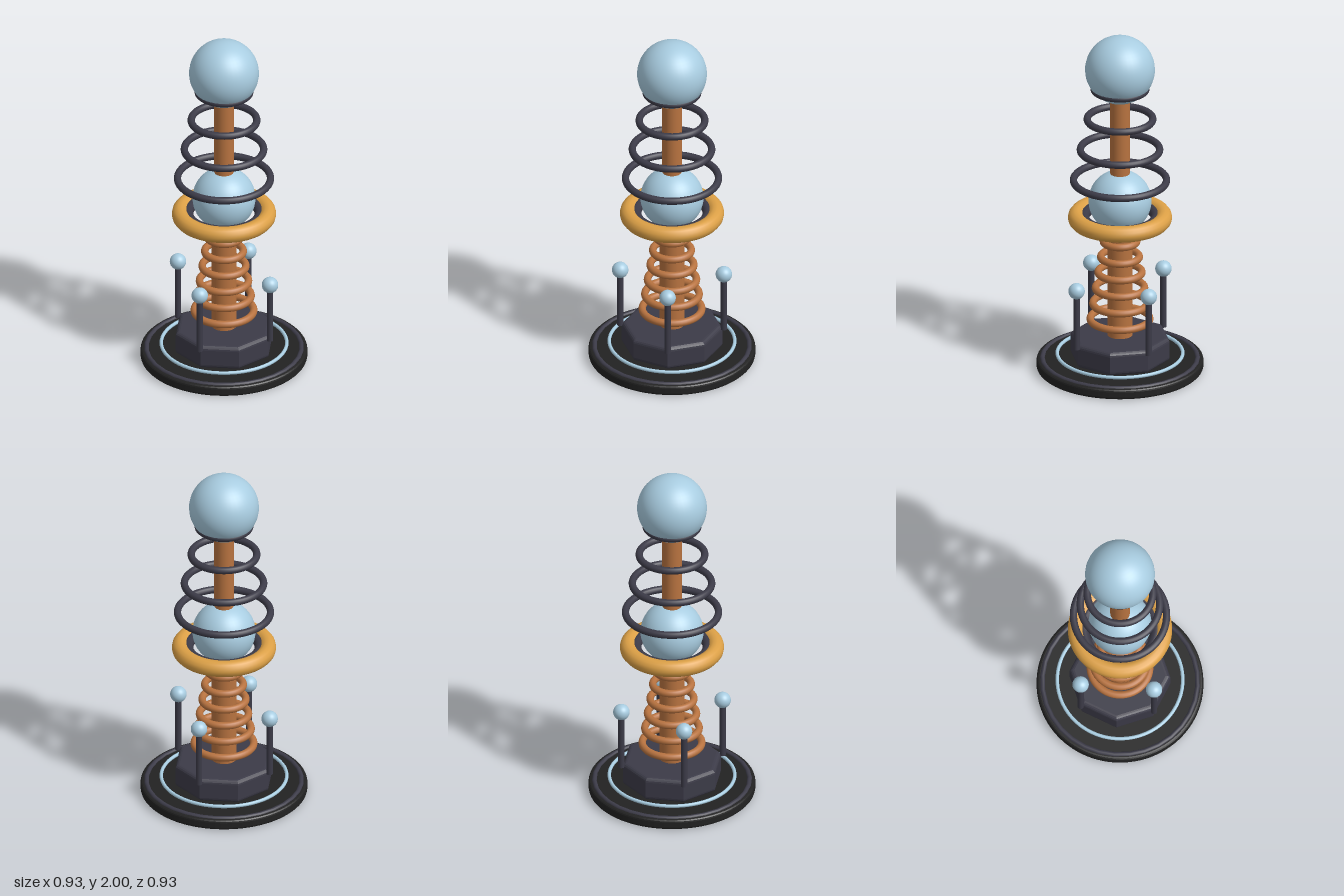
import * as THREE from 'three';

const mat = (name, color) => {
  const m = new THREE.MeshStandardMaterial({ color });
  m.name = name;
  return m;
};

export function createModel() {
  const glass = mat('pale blue', 0xa8cce0);
  const copper = mat('copper', 0xb87340);
  const gold = mat('gold', 0xdca046);
  const iron = mat('dark iron', 0x3c3b48);
  const black = mat('black', 0x222222);
  const model = new THREE.Group();
  model.name = 'coilTower';

  const add = (name, geometry, material, x = 0, y = 0, z = 0) => {
    const mesh = new THREE.Mesh(geometry, material);
    mesh.name = name;
    mesh.position.set(x, y, z);
    model.add(mesh);
    return mesh;
  };
  // Horizontal ring given by its outer radius and tube radius
  const ring = (name, outer, tube, y, material, segments = 48) =>
    add(name, new THREE.TorusGeometry(outer - tube, tube, 14, segments).rotateX(-Math.PI / 2), material, 0, y);
  const ball = (name, r, material, x, y, z) =>
    add(name, new THREE.SphereGeometry(r, 40, 28), material, x, y, z);
  // Upright cylinder between two heights
  const post = (name, r, y0, y1, material, x = 0, z = 0) =>
    add(name, new THREE.CylinderGeometry(r, r, y1 - y0, 24), material, x, (y0 + y1) / 2, z);

  // Round base plate with a softened rim
  const disc = new THREE.Shape().absarc(0, 0, 0.45, 0, Math.PI * 2, false);
  add('basePlate', new THREE.ExtrudeGeometry(disc, {
    depth: 0.03, bevelThickness: 0.015, bevelSize: 0.015, bevelSegments: 3, curveSegments: 48,
  }).rotateX(-Math.PI / 2), black, 0, 0.015);
  ring('baseRim', 0.447, 0.014, 0.056, iron, 32);
  ring('glowRing', 0.36, 0.01, 0.087, glass, 64);

  // Eight-sided collar with rounded edges
  const octagon = new THREE.Shape(Array.from({ length: 8 }, (_, i) => {
    const a = i * Math.PI / 4;
    return new THREE.Vector2(Math.cos(a) * 0.255, Math.sin(a) * 0.255);
  }));
  add('collar', new THREE.ExtrudeGeometry(octagon, {
    depth: 0.09, bevelThickness: 0.025, bevelSize: 0.025, bevelSegments: 4,
  }).rotateX(-Math.PI / 2), iron, 0, 0.085);

  // Lower column with its tapering winding
  post('lowerColumn', 0.071, 0.15, 0.92, copper);
  for (let i = 0; i < 6; i++) {
    ring('copperRing', 0.187 - i * 0.0146, 0.021, 0.295 + i * 0.094, copper);
  }

  // Four slim electrodes with ball tips
  for (let i = 0; i < 4; i++) {
    const a = i * Math.PI / 2, x = Math.cos(a) * 0.29, z = Math.sin(a) * 0.29;
    post('electrodeRod', 0.018, 0.178, 0.5, iron, x, z);
    ball('electrodeTip', 0.046, glass, x, 0.53, z);
  }

  // Middle orb inside a gold ring with a dark lining
  ring('goldRing', 0.291, 0.047, 0.91, gold, 64);
  ring('goldRingLining', 0.235, 0.032, 0.91, iron, 64);
  ball('middleOrb', 0.176, glass, 0, 1.01, 0);

  // Upper column, shrinking hoops and top orb
  post('upperColumn', 0.055, 1.1, 1.7, copper);
  for (let i = 0; i < 4; i++) {
    ring('ironHoop', 0.28 - i * 0.0382, 0.0205, 1.135 + i * 0.185, iron, 64);
  }
  ball('topOrb', 0.195, glass, 0, 1.805, 0);

  return model;
}
